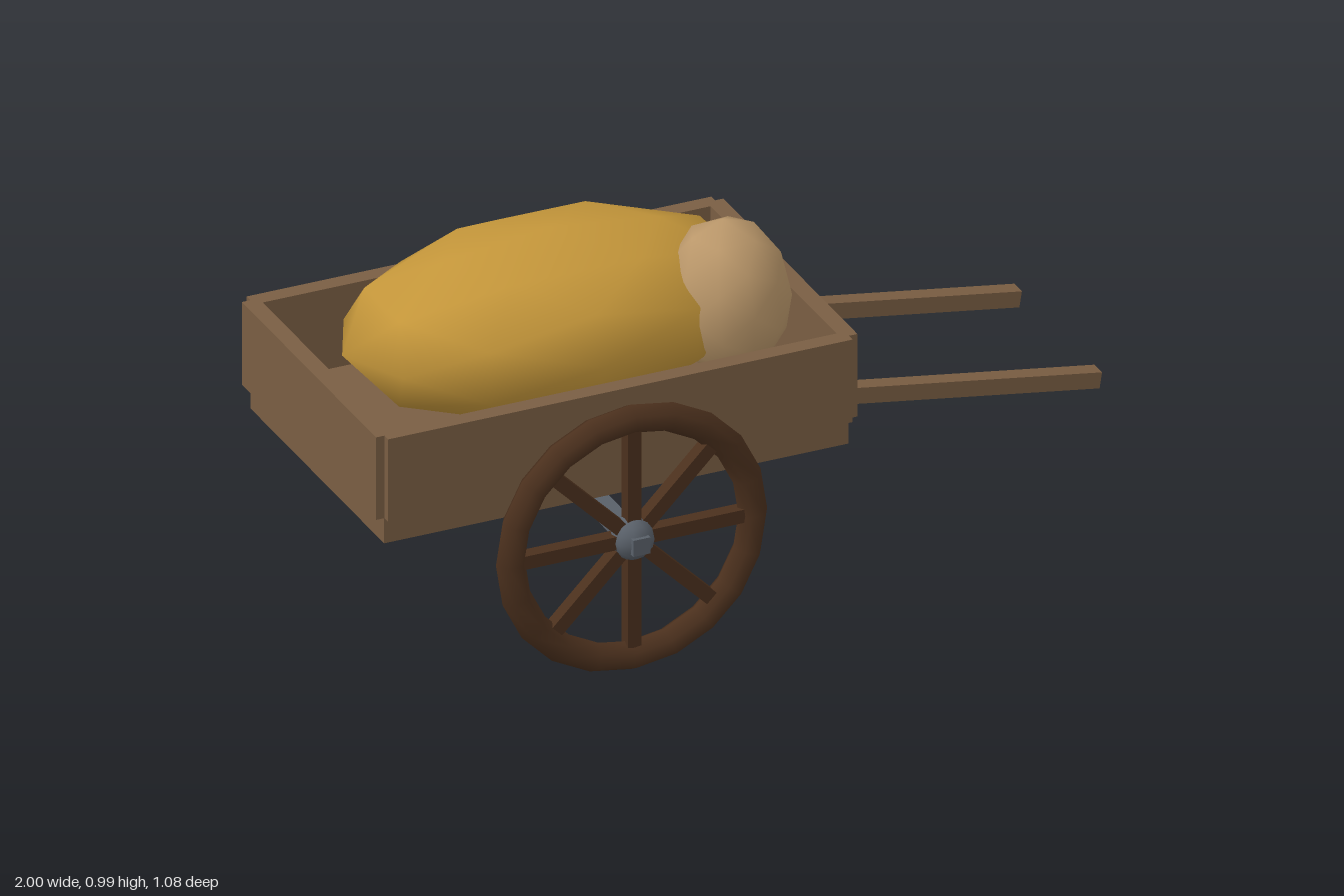
import * as THREE from 'three';

const mat = (name, color) => {
  const m = new THREE.MeshStandardMaterial({ color });
  m.name = name;
  return m;
};

export function createModel() {
  const wood = mat('plank wood', 0x7a5e43);
  const darkWood = mat('dark wheel wood', 0x4b301d);
  const iron = mat('iron', 0x596069);
  const straw = mat('golden load', 0xc4963a);
  const cloth = mat('tan sack', 0xba976a);

  const cart = new THREE.Group();
  cart.name = 'handcart';

  const add = (parent, name, geometry, material, x, y, z) => {
    const mesh = new THREE.Mesh(geometry, material);
    mesh.name = name;
    mesh.position.set(x, y, z);
    parent.add(mesh);
    return mesh;
  };
  const box = (w, h, d) => new THREE.BoxGeometry(w, h, d);

  // Open tray: floor, two long sides, two ends
  const midX = -0.357;
  add(cart, 'floor', box(1.24, 0.075, 0.772), wood, midX, 0.4775, 0);
  for (const s of [1, -1]) {
    add(cart, s > 0 ? 'leftEndBoard' : 'rightEndBoard', box(0.045, 0.226, 0.776), wood, midX + s * 0.62, 0.623, 0);
    add(cart, s > 0 ? 'frontBoard' : 'backBoard', box(1.24, 0.226, 0.045), wood, midX, 0.623, s * 0.387);
  }

  // Sloping pull handles
  const x0 = 0.235, y0 = 0.506, x1 = 0.997, y1 = 0.388;
  for (const z of [0.232, -0.232]) {
    const handle = add(cart, 'handle', box(Math.hypot(x1 - x0, y1 - y0), 0.043, 0.044), wood,
      (x0 + x1) / 2, (y0 + y1) / 2, z);
    handle.rotation.z = Math.atan2(y1 - y0, x1 - x0);
  }

  // Axle and spoked wheels
  const axleY = 0.367;
  add(cart, 'axle', box(0.046, 0.044, 1.08), iron, midX - 0.003, axleY, 0);
  for (const z of [0.48, -0.48]) {
    const wheel = new THREE.Group();
    wheel.name = 'wheel';
    wheel.position.set(midX - 0.003, axleY, z);
    cart.add(wheel);
    add(wheel, 'rim', new THREE.TorusGeometry(0.3235, 0.0385, 6, 20), darkWood, 0, 0, 0);
    add(wheel, 'hub', new THREE.SphereGeometry(0.057, 10, 8), iron, 0, 0, 0);
    for (let i = 0; i < 4; i++) {
      // each bar spans the full wheel, making two opposite spokes
      add(wheel, 'spokePair', box(0.64, 0.036, 0.036), darkWood, 0, 0, 0).rotation.z = i * Math.PI / 4;
    }
  }

  // Rounded load and smaller sack
  const lump = new THREE.IcosahedronGeometry(1, 1);
  add(cart, 'load', lump, straw, -0.358, 0.755, 0).scale.set(0.553, 0.23, 0.325);
  const sack = add(cart, 'sack', lump, cloth, 0.042, 0.792, 0.166);
  sack.scale.set(0.157, 0.205, 0.158);
  sack.rotation.set(-0.05, 0, 0.05);

  return cart;
}
